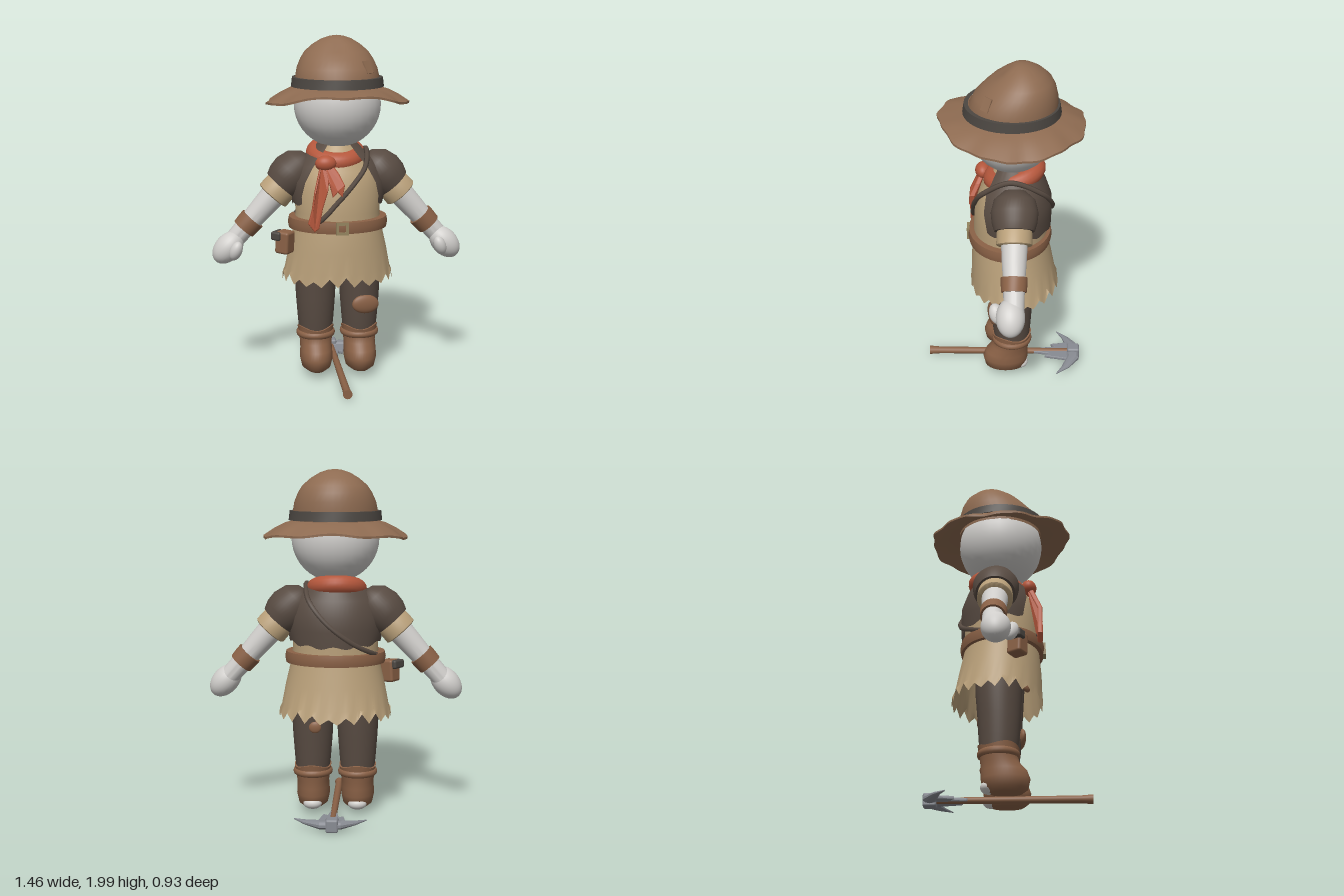
import * as THREE from 'three';
import { toCreasedNormals } from 'three/addons/utils/BufferGeometryUtils.js';
import { RoundedBoxGeometry } from 'three/addons/geometries/RoundedBoxGeometry.js';

const mat = (name, color, double = false) => {
  const m = new THREE.MeshStandardMaterial({ color });
  m.name = name;
  if (double) m.side = THREE.DoubleSide;
  return m;
};

const M = {
  skin: mat('paleSkin', 0xd0cecb),
  felt: mat('hatBrown', 0x8e6b51),
  leather: mat('leatherBrown', 0x8a6146),
  band: mat('bandGrey', 0x4c4742),
  dark: mat('darkCloth', 0x584b42, true),
  tan: mat('tanCloth', 0xb89f79, true),
  scarf: mat('scarfRed', 0xb4573c),
  metal: mat('steel', 0x888b92),
  brass: mat('dullBrass', 0x94845f),
};

// Stacked ellipses [y, rx, rz, cz]; optional bending rule and open arc per ring
function loft(rings, { seg = 40, rule, arc, crease = 0.8 } = {}) {
  const pos = [], idx = [], n = seg + 1;
  rings.forEach(([y, rx, rz = rx, cz = 0], i) => {
    const [a0, a1] = arc ? arc(i) : [0, Math.PI * 2];
    for (let j = 0; j <= seg; j++) {
      const k = arc ? j : j % seg;
      const a = a0 + ((a1 - a0) * k) / seg;
      const v = new THREE.Vector3(Math.cos(a) * rx, y, Math.sin(a) * rz + cz);
      if (rule) rule(v, a, i);
      pos.push(v.x, v.y, v.z);
      if (i && j < seg) {
        const p = (i - 1) * n + j, q = i * n + j;
        idx.push(p, q, p + 1, p + 1, q, q + 1);
      }
    }
  });
  const g = new THREE.BufferGeometry();
  g.setAttribute('position', new THREE.Float32BufferAttribute(pos, 3));
  g.setIndex(idx);
  return toCreasedNormals(g, crease);
}

const ball = (rx, ry, rz) => new THREE.SphereGeometry(1, 28, 20).scale(rx, ry, rz);

function plate(points, depth) {
  const s = new THREE.Shape(points.map(([x, y]) => new THREE.Vector2(x, y)));
  return new THREE.ExtrudeGeometry(s, {
    depth, bevelEnabled: true, bevelSize: 0.006, bevelThickness: 0.006, bevelSegments: 2,
  });
}

export function createModel() {
  const root = new THREE.Group();
  root.name = 'traveller';
  const add = (name, geo, material, p = [0, 0, 0], r = [0, 0, 0], parent = root) => {
    const m = new THREE.Mesh(geo, material);
    m.name = name;
    m.position.set(...p);
    m.rotation.set(...r);
    parent.add(m);
    return m;
  };

  add('head', ball(0.25, 0.25, 0.245), M.skin, [0, 1.615, -0.037]);

  // Hat: dented crown, band and wavy drooping brim
  add('hatCrown', loft([
    [1.68, 0.24, 0.245, -0.04], [1.76, 0.242, 0.245, -0.042], [1.82, 0.23, 0.228, -0.057],
    [1.87, 0.208, 0.198, -0.075], [1.91, 0.182, 0.167, -0.086], [1.95, 0.135, 0.118, -0.092],
    [1.98, 0.085, 0.07, -0.09], [1.995, 0.04, 0.035, -0.085], [2.0, 0.001, 0.001, -0.085],
  ], {
    rule: (v, a) => {
      const d = Math.exp(-(((a - 1.57) / 0.35) ** 2) - (((v.y - 1.94) / 0.03) ** 2));
      v.z -= 0.02 * d;
    },
  }), M.felt);
  add('hatBand', loft([
    [1.715, 0.235, 0.24, -0.035], [1.715, 0.265, 0.272, -0.035],
    [1.768, 0.259, 0.264, -0.035], [1.768, 0.235, 0.24, -0.035],
  ]), M.band);
  const brimRings = [[-0.008, 0.22], [-0.008, 0.29], [-0.008, 0.35], [-0.006, 0.405],
    [0.006, 0.405], [0.008, 0.35], [0.008, 0.29], [0.008, 0.22]];
  add('hatBrim', loft(brimRings.map(([y, r]) => [y, r, r]), {
    seg: 90,
    rule: (v, a, i) => {
      const t = (brimRings[i][1] - 0.22) / 0.185, c = Math.cos(a) ** 2;
      const drop = 0.092 * c + (Math.sin(a) > 0 ? 0.02 : 0.062) * (1 - c);
      const w = 1 + t * (0.015 * Math.sin(9 * a) + 0.012 * Math.sin(16 * a + 1));
      v.set(v.x * w, v.y + 1.71 - drop * t ** 1.5 + 0.006 * t * Math.sin(7 * a), v.z * w - 0.037);
    },
  }), M.felt);
  add('hatPatch', new THREE.BoxGeometry(0.055, 0.075, 0.009), M.felt, [0.156, 1.83, 0.1])
    .lookAt(0.32, 1.95, 0.26);

  // Tunic with a ragged skirt
  add('tunicBody', loft([
    [0.86, 0.255, 0.215, -0.03], [1.0, 0.245, 0.213, -0.03], [1.13, 0.252, 0.21, -0.035],
    [1.24, 0.225, 0.18, -0.04], [1.33, 0.14, 0.13, -0.05], [1.4, 0.08, 0.08, -0.05],
  ]), M.tan);
  add('tunicSkirt', loft([
    [0.585, 0.322, 0.258, -0.053], [0.66, 0.308, 0.248, -0.047],
    [0.78, 0.285, 0.235, -0.037], [0.9, 0.257, 0.217, -0.03], [0.94, 0.25, 0.21, -0.03],
  ], {
    seg: 84,
    rule: (v, a, i) => {
      if (i) return;
      const p = (a * 21 / (Math.PI * 2)) % 1;
      v.y += Math.abs(2 * p - 1) * (0.045 + 0.015 * Math.sin(5 * a));
    },
  }), M.tan);
  add('hemPatch', ball(0.03, 0.022, 0.012), M.leather, [-0.21, 0.615, 0.115], [0, -0.6, 0]);

  // Belt and square buckle
  add('belt', loft([
    [0.9, 0.24, 0.2, -0.025], [0.903, 0.284, 0.237, -0.025], [0.935, 0.29, 0.243, -0.025],
    [0.967, 0.284, 0.237, -0.025], [0.97, 0.24, 0.2, -0.025],
  ]), M.leather);
  const frame = new THREE.Shape();
  frame.moveTo(-0.036, -0.036).lineTo(0.036, -0.036).lineTo(0.036, 0.036).lineTo(-0.036, 0.036);
  const hole = new THREE.Path();
  hole.moveTo(-0.02, -0.02).lineTo(-0.02, 0.02).lineTo(0.02, 0.02).lineTo(0.02, -0.02);
  frame.holes.push(hole);
  add('buckle', new THREE.ExtrudeGeometry(frame, { depth: 0.016, bevelEnabled: false }),
    M.brass, [0, 0.935, 0.208]);

  // Open vest
  const open = [0.98, 0.93, 0.82, 0.68, 0.62, 0.6];
  add('vest', loft([
    [1.01, 0.262, 0.232, -0.03], [1.1, 0.274, 0.232, -0.033], [1.18, 0.276, 0.227, -0.036],
    [1.27, 0.245, 0.19, -0.042], [1.33, 0.18, 0.15, -0.05], [1.39, 0.11, 0.11, -0.05],
  ], {
    seg: 48,
    arc: (i) => [Math.PI / 2 + open[i], Math.PI * 2.5 - open[i]],
    rule: (v, a, i) => {
      if (!i) v.y += 0.03 * (1 + Math.sin(a)) + 0.008 * Math.sin(11 * a);
    },
  }), M.dark);

  // Diagonal strap over the left shoulder
  const strapPath = new THREE.CatmullRomCurve3([
    [-0.13, 0.97, 0.18], [-0.03, 1.07, 0.185], [0.07, 1.18, 0.17], [0.14, 1.27, 0.125],
    [0.165, 1.355, -0.03], [0.14, 1.27, -0.21], [0.04, 1.15, -0.265], [-0.1, 1.04, -0.252],
    [-0.22, 0.97, -0.16], [-0.25, 0.94, 0.02],
  ].map((p) => new THREE.Vector3(...p)), true);
  add('strap', new THREE.TubeGeometry(strapPath, 90, 0.015, 6, true), M.dark);

  // Neckerchief
  add('scarfRing', new THREE.TorusGeometry(0.115, 0.058, 16, 40).rotateX(Math.PI / 2)
    .scale(1, 0.95, 1.05), M.scarf, [-0.008, 1.325, -0.05], [0.28, 0, 0]);
  add('scarfKnot', ball(0.06, 0.046, 0.045), M.scarf, [-0.085, 1.295, 0.13]);
  const tails = [
    [[-0.11, 1.29], [-0.15, 1.14], [-0.165, 1.04], [-0.185, 0.965], [-0.155, 0.925], [-0.135, 0.94],
      [-0.115, 1.05], [-0.085, 1.15], [-0.065, 1.29]],
    [[-0.09, 1.29], [-0.065, 1.19], [-0.05, 1.12], [-0.025, 1.15], [0.0, 1.12], [0.01, 1.18],
      [-0.02, 1.24], [-0.055, 1.29]],
  ];
  tails.forEach((pts, k) => {
    const g = plate(pts, 0.018), p = g.attributes.position;
    for (let i = 0; i < p.count; i++) {
      p.setZ(i, p.getZ(i) + 0.125 + Math.min(0.06, (1.29 - p.getY(i)) * 0.5));
    }
    g.computeVertexNormals();
    add('scarfTail' + (k + 1), g, M.scarf);
  });

  // Belt pouch
  const pouch = new THREE.Group();
  pouch.name = 'pouch';
  pouch.position.set(-0.315, 0.835, 0.07);
  pouch.rotation.set(0, -0.6, -0.06);
  root.add(pouch);
  add('pouchBody', new RoundedBoxGeometry(0.085, 0.13, 0.09, 3, 0.015), M.leather, [0, 0, 0], [0, 0, 0], pouch);
  add('pouchFlap', new RoundedBoxGeometry(0.06, 0.05, 0.095, 3, 0.012), M.band, [-0.035, 0.037, 0.012], [0, 0, 0], pouch);

  for (const s of [1, -1]) {
    const side = s > 0 ? 'left' : 'right';

    // Arm hangs along local -y
    const arm = new THREE.Group();
    arm.name = side + 'Arm';
    arm.position.set(s * 0.24, 1.235, -0.053);
    arm.rotation.z = s * 0.725;
    root.add(arm);
    const part = (name, geo, m, p, r) => add(side + name, geo, m, p, r, arm);
    part('Sleeve', loft([[-0.125, 0.07], [-0.125, 0.108, 0.112], [-0.08, 0.124, 0.126], [-0.02, 0.127, 0.132],
      [0.05, 0.105, 0.115], [0.1, 0.05, 0.06], [0.11, 0.001]]), M.dark);
    part('Cuff', loft([[-0.205, 0.06], [-0.205, 0.094], [-0.2, 0.1], [-0.13, 0.098], [-0.1, 0.085]]), M.tan);
    part('Forearm', loft([[-0.58, 0.056], [-0.42, 0.06], [-0.3, 0.068], [-0.15, 0.076]]), M.skin);
    part('Wristband', loft([[-0.46, 0.05], [-0.46, 0.07], [-0.42, 0.073], [-0.38, 0.074], [-0.38, 0.05]]), M.leather);
    part('Hand', ball(0.076, 0.108, 0.08), M.skin, [0, -0.6, 0.018]);
    part('Thumb', ball(0.036, 0.06, 0.04), M.skin, [s * -0.035, -0.575, 0.095], [0.3, 0, s * -0.35]);

    // Leg and boot
    const leg = new THREE.Group();
    leg.name = side + 'Leg';
    leg.position.x = s * 0.13;
    root.add(leg);
    const low = (name, geo, m, p, r) => add(side + name, geo, m, p, r, leg);
    low('Trouser', loft([[0.25, 0.095, 0.1, -0.04], [0.35, 0.105, 0.112, -0.038],
      [0.48, 0.115, 0.12, -0.038], [0.62, 0.122, 0.13, -0.04], [0.88, 0.122, 0.14, -0.035]]), M.dark);
    low('Boot', loft([[0.04, 0.001, 0.001, 0], [0.042, 0.055, 0.09, 0], [0.065, 0.085, 0.122, -0.002],
      [0.12, 0.097, 0.134, -0.002], [0.165, 0.094, 0.126, -0.01], [0.205, 0.093, 0.108, -0.03],
      [0.25, 0.1, 0.105, -0.04], [0.3, 0.107, 0.115, -0.04], [0.305, 0.09, 0.09, -0.04]], {
      rule: (v, a, i) => { if (i > 6) v.y += 0.01 * Math.sin(3 * a); },
    }), M.leather);
    low('BootStrap', new THREE.TorusGeometry(0.097, 0.018, 10, 36).rotateX(Math.PI / 2)
      .scale(1, 1.2, 1.03), M.leather, [0, 0.258, -0.04]);
    low('WornHeel', ball(0.055, 0.035, 0.045), M.skin, [0, 0.075, -0.094]);
  }
  add('kneePatch', ball(0.082, 0.056, 0.025), M.leather, [0.152, 0.45, 0.076], [0, 0.2, -0.08]);
  add('rearPatch', ball(0.035, 0.034, 0.014), M.leather, [0.11, 0.54, -0.162]);

  // Pickaxe lying on the ground
  const pick = new THREE.Group();
  pick.name = 'pickaxe';
  pick.position.y = 0.046;
  root.add(pick);
  const tool = (name, geo, m, p, r) => add(name, geo, m, p, r, pick);
  tool('handle', new THREE.CylinderGeometry(0.022, 0.017, 0.9, 14).rotateX(Math.PI / 2), M.leather, [0, 0, 0]);
  tool('handleEnd', new THREE.CylinderGeometry(0.027, 0.022, 0.06, 14).rotateX(Math.PI / 2), M.leather, [0, 0, 0.44]);
  tool('pickCollar', new RoundedBoxGeometry(0.07, 0.076, 0.075, 2, 0.012), M.metal, [0, 0, -0.42]);
  // Curved blade tapering to both tips
  tool('pickBlade', loft([[-0.2, 0.003, 0.003], [-0.14, 0.012, 0.022], [-0.06, 0.024, 0.04],
    [0.06, 0.024, 0.04], [0.15, 0.012, 0.024], [0.21, 0.003, 0.003]], {
    seg: 10,
    crease: 0.4,
    rule: (v) => v.set(v.y + 0.01, -v.x, v.z - 0.425 + 2.6 * v.y * v.y),
  }), M.metal);
  // Chipped inner plate beside the handle
  tool('pickPlate', plate([[-0.07, 0.38], [-0.055, 0.29], [-0.03, 0.31], [-0.015, 0.22], [0.015, 0.18],
    [0.03, 0.27], [0.055, 0.25], [0.08, 0.38]], 0.008).rotateX(-Math.PI / 2), M.metal, [0, -0.004, 0]);

  return root;
}
